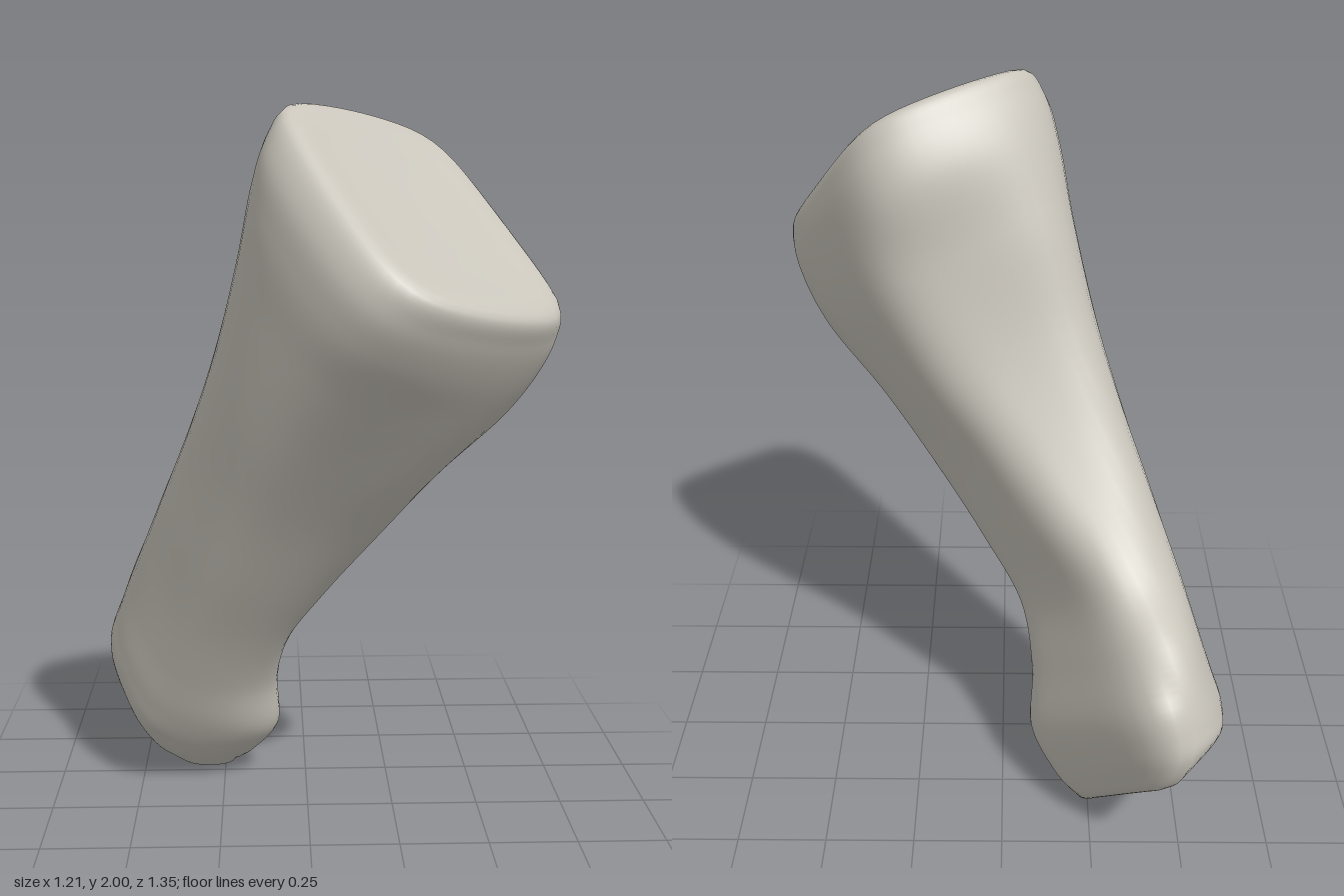
import * as THREE from 'three';
import { mergeVertices } from 'three/addons/utils/BufferGeometryUtils.js';

// Frame of the slanted bone: breadth, thickness and long axis
const BREADTH = new THREE.Vector3(0.70, -0.52, 0.48).normalize();
const THICK = new THREE.Vector3(0.62, 0.13, -0.76).normalize();
const AXIS = new THREE.Vector3(0.32, 0.85, 0.41).normalize();

// Directions (degrees) in which each section's reach is given
const ANGLES = [-48.4, -16, 32.5, 72.5, 131.6, 164, 212.5, 252.5].map((a) => THREE.MathUtils.degToRad(a));

// Sections from the broad base to the head: place on axis, slant, then reach in each direction
const SECTIONS = [
  [0.90, -0.14, 0.37, 0.38, 0.40, 0.25, 0.355, 0.38, 0.41, 0.28],
  [0.83, -0.14, 0.395, 0.395, 0.43, 0.28, 0.37, 0.395, 0.425, 0.335],
  [0.72, -0.12, 0.395, 0.396, 0.43, 0.284, 0.36, 0.396, 0.42, 0.355],
  [0.55, -0.05, 0.37, 0.38, 0.39, 0.262, 0.275, 0.364, 0.392, 0.354],
  [0.30, 0, 0.335, 0.338, 0.30, 0.19, 0.20, 0.322, 0.363, 0.347],
  [0.05, 0, 0.305, 0.29, 0.235, 0.105, 0.175, 0.293, 0.354, 0.335],
  [-0.20, 0, 0.288, 0.25, 0.175, 0.045, 0.187, 0.292, 0.357, 0.328],
  [-0.42, 0, 0.275, 0.225, 0.143, 0.006, 0.23, 0.318, 0.361, 0.323],
  [-0.60, -0.05, 0.273, 0.23, 0.157, 0.044, 0.32, 0.40, 0.364, 0.325],
  [-0.75, -0.08, 0.275, 0.272, 0.253, 0.088, 0.39, 0.437, 0.363, 0.33],
  [-0.86, -0.12, 0.265, 0.25, 0.25, 0.08, 0.405, 0.425, 0.362, 0.32],
  [-0.935, -0.17, 0.246, 0.22, 0.215, 0.06, 0.39, 0.405, 0.345, 0.26],
  [-0.985, -0.17, 0.215, 0.20, 0.185, 0.035, 0.31, 0.335, 0.23, 0.165],
];

const SIDES = 64;
const STEPS = 102;
const SOFTNESS = 6.5;

// Outline radii of a polygon with softened corners
function softRadii(sides) {
  return Array.from({ length: SIDES }, (_, j) => {
    const angle = (j / SIDES) * Math.PI * 2;
    const sum = sides.reduce((s, side, i) =>
      s + Math.pow(Math.max(0, Math.cos(angle - ANGLES[i])) / side, SOFTNESS), 0);
    return Math.pow(sum, -1 / SOFTNESS);
  });
}

// Section whose outline touches the eight reaches
function makeRing([place, slant, ...reach]) {
  const middle = (reach[3] - reach[7]) / 2;
  const target = reach.map((r, i) => r - middle * Math.sin(ANGLES[i]));
  let sides = target;
  for (let n = 0; n < 16; n++) {
    const radii = softRadii(sides);
    sides = sides.map((side, i) => {
      const extent = Math.max(...radii.map((r, j) => r * Math.cos((j / SIDES) * Math.PI * 2 - ANGLES[i])));
      return Math.min(target[i] * 1.3, (side * target[i]) / extent);
    });
  }
  return softRadii(sides).map((radius, j) => {
    const angle = (j / SIDES) * Math.PI * 2;
    const l = radius * Math.cos(angle);
    return new THREE.Vector3(0, 1, 0)
      .addScaledVector(BREADTH, l)
      .addScaledVector(THICK, radius * Math.sin(angle) + middle)
      .addScaledVector(AXIS, place + slant * l);
  });
}

// Ring drawn in towards its middle, to close an end
function shrink(ring, amount, lift) {
  const middle = new THREE.Vector3();
  ring.forEach((p) => middle.addScaledVector(p, 1 / SIDES));
  return ring.map((p) => p.clone().lerp(middle, amount).addScaledVector(AXIS, lift));
}

function boneGeometry() {
  const rings = SECTIONS.map(makeRing);
  const first = rings[0];
  const last = rings[rings.length - 1];
  rings.unshift(shrink(first, 1, -0.01), shrink(first, 0.4, 0));
  rings.push(shrink(last, 0.5, -0.02), shrink(last, 1, -0.025));

  // Smooth curves run along the bone through every section
  const positions = [];
  const index = [];
  for (let j = 0; j < SIDES; j++) {
    const curve = new THREE.CatmullRomCurve3(rings.map((ring) => ring[j]));
    for (let i = 0; i <= STEPS; i++) positions.push(...curve.getPoint(i / STEPS).toArray());
  }
  const at = (i, j) => (j % SIDES) * (STEPS + 1) + i;
  for (let j = 0; j < SIDES; j++) {
    for (let i = 0; i < STEPS; i++) {
      const a = at(i, j), b = at(i, j + 1), c = at(i + 1, j), d = at(i + 1, j + 1);
      if (i < STEPS - 1) index.push(c, d, a);
      if (i > 0) index.push(d, b, a);
    }
  }
  let geometry = new THREE.BufferGeometry();
  geometry.setAttribute('position', new THREE.Float32BufferAttribute(positions, 3));
  geometry.setIndex(index);
  geometry = mergeVertices(geometry, 1e-5);

  // Stand it on the ground, centred
  geometry.computeBoundingBox();
  const mid = geometry.boundingBox.getCenter(new THREE.Vector3());
  geometry.translate(-mid.x, -geometry.boundingBox.min.y, -mid.z);
  geometry.computeVertexNormals();
  return geometry;
}

export function createModel() {
  const group = new THREE.Group();
  group.name = 'bone';
  const material = new THREE.MeshStandardMaterial({ color: 0xc8c4ba });
  material.name = 'warm grey bone';
  const bone = new THREE.Mesh(boneGeometry(), material);
  bone.name = 'boneShaftAndEnds';
  group.add(bone);
  return group;
}
